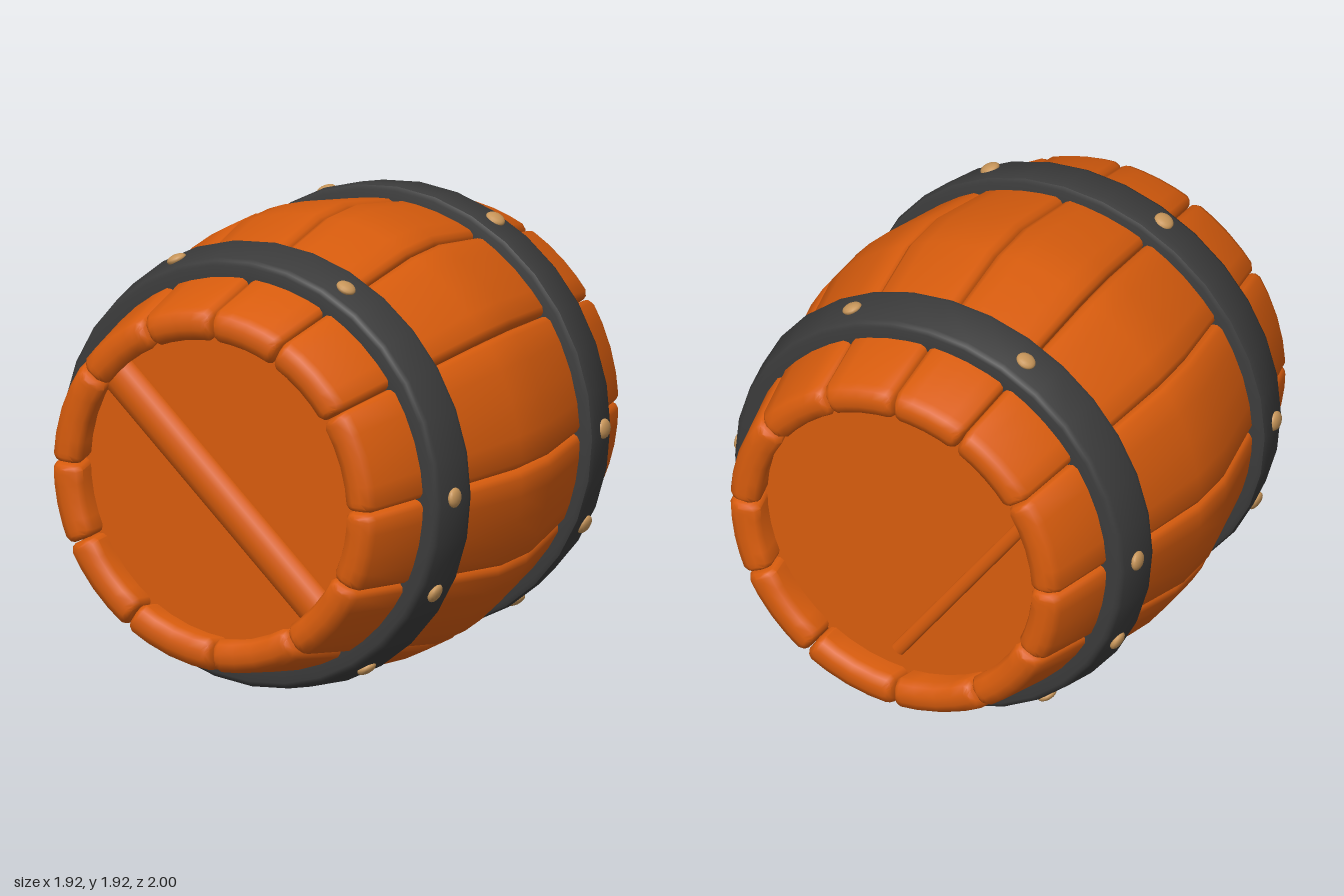
import * as THREE from 'three';
import { toCreasedNormals } from 'three/addons/utils/BufferGeometryUtils.js';

const mat = (name, color, side = THREE.FrontSide) => {
  const m = new THREE.MeshStandardMaterial({ color, side });
  m.name = name;
  return m;
};

// Seams between staves, in degrees, for the +x half; the other half is mirrored
const HALF_SEAMS = [-90, -57, -26, 1, 35, 64, 90];
const SEAMS = [...HALF_SEAMS, ...HALF_SEAMS.slice(1).reverse().slice(1).map(a => 180 - a), 270];

// Half of the stave's length: z, outer radius, inner radius, side inset
const SECTIONS = [
  [0.11, 0.96, 0.82, 0],
  [0.5, 0.878, 0.74, 0],
  [0.7, 0.832, 0.695, 0],
  [0.955, 0.775, 0.635, 0],
  [0.985, 0.757, 0.65, 0.01],
  [1.0, 0.725, 0.685, 0.028],
];

// One bowed plank, lofted along z from rounded ring-sector cross-sections
function staveGeometry(a0, a1) {
  const rows = [
    ...SECTIONS.slice().reverse().map(([z, ...r]) => [-z, ...r]),
    ...SECTIONS,
  ];
  const pos = [], index = [];
  let n = 0;
  for (const [z, ro, ri, inset] of rows) {
    const s = a0 + 0.003 + inset, e = a1 - 0.003 - inset;
    const bevel = Math.min(0.03, (ro - ri) * 0.3);
    const edge = [[0, bevel], [0.01, bevel * 0.4], [0.035, 0]];
    const profile = [
      ...edge.map(([d, b]) => [s + d, b]),
      ...[0.25, 0.5, 0.75].map(t => [s + (e - s) * t, 0]),
      ...edge.slice().reverse().map(([d, b]) => [e - d, b]),
    ];
    const loop = [
      ...profile.map(([a, b]) => [a, ro - b]),
      ...profile.slice().reverse().map(([a, b]) => [a, ri + b]),
    ];
    n = loop.length;
    for (const [a, r] of loop) pos.push(Math.cos(a) * r, Math.sin(a) * r, z);
  }
  for (let i = 0; i < rows.length - 1; i++) {
    for (let j = 0; j < n; j++) {
      const k = (j + 1) % n, p = i * n, q = p + n;
      index.push(p + j, p + k, q + k, p + j, q + k, q + j);
    }
  }
  // End caps
  const last = (rows.length - 1) * n;
  for (let j = 0; j < n / 2 - 1; j++) {
    const a = j, b = j + 1, c = n - 2 - j, d = n - 1 - j;
    index.push(last + a, last + b, last + c, last + a, last + c, last + d);
    index.push(a, c, b, a, d, c);
  }
  const g = new THREE.BufferGeometry();
  g.setAttribute('position', new THREE.Float32BufferAttribute(pos, 3));
  g.setIndex(index);
  return toCreasedNormals(g, 0.9);
}

// Hoop with softened edges, leaning in toward the barrel's end
function hoopGeometry() {
  const pts = [
    [0.8, 0.475], [0.92, 0.47], [0.938, 0.48], [0.944, 0.505], [0.912, 0.665],
    [0.902, 0.683], [0.885, 0.69], [0.8, 0.685], [0.8, 0.475],
  ].map(p => new THREE.Vector2(...p));
  return toCreasedNormals(new THREE.LatheGeometry(pts, 32).rotateX(Math.PI / 2), 0.8);
}

export function createModel() {
  const wood = mat('orange wood', 0xd85c0d);
  const iron = mat('dark iron', 0x3b3b3b);
  const brass = mat('tan brass', 0xc8965a);

  const model = new THREE.Group();
  model.name = 'barrel';
  const body = new THREE.Group();
  body.name = 'barrelBody';
  body.position.y = 0.96;
  model.add(body);
  const add = (parent, name, geometry, material) => {
    const m = new THREE.Mesh(geometry, material);
    m.name = name;
    parent.add(m);
    return m;
  };

  // Staves
  const rad = THREE.MathUtils.degToRad;
  for (let i = 0; i < SEAMS.length - 1; i++) {
    add(body, 'stave', staveGeometry(rad(SEAMS[i]), rad(SEAMS[i + 1])), wood);
  }

  // Hoops with domed rivets, the same at both ends
  const hoopGeo = hoopGeometry();
  const rivetGeo = new THREE.SphereGeometry(0.042, 14, 10).scale(0.5, 1, 1);
  for (const turn of [0, Math.PI]) {
    const band = new THREE.Group();
    band.name = turn ? 'backHoop' : 'frontHoop';
    band.rotation.y = turn;
    add(band, 'hoop', hoopGeo, iron);
    for (const deg of [64, 1, -26, -57, 116, 179, 206, 237]) {
      const a = rad(deg);
      const rivet = add(band, 'rivet', rivetGeo, brass);
      rivet.position.set(Math.cos(a) * 0.928, Math.sin(a) * 0.928, 0.59);
      rivet.rotation.z = a;
    }
    body.add(band);
  }

  // Recessed heads
  const headGeo = new THREE.CylinderGeometry(0.69, 0.69, 0.04, 40).rotateX(Math.PI / 2);
  add(body, 'frontHead', headGeo, wood).position.z = 0.83;
  add(body, 'backHead', headGeo, wood).position.z = -0.83;

  // Rounded diagonal ridge laid across a head between two points
  const ridge = (name, [x0, y0], [x1, y1], z, width, height) => {
    const length = Math.hypot(x1 - x0, y1 - y0);
    const g = new THREE.CylinderGeometry(1, 1, length, 16).rotateZ(Math.PI / 2);
    g.scale(1, width / 2, height);
    const m = add(body, name, g, wood);
    m.position.set((x0 + x1) / 2, (y0 + y1) / 2, z);
    m.rotation.z = Math.atan2(y1 - y0, x1 - x0);
  };
  ridge('frontBrace', [-0.53, 0.4], [0.46, -0.5], 0.85, 0.17, 0.06);
  ridge('backRidge', [0.05, -0.58], [-0.57, 0.26], -0.85, 0.06, 0.02);

  return model;
}
